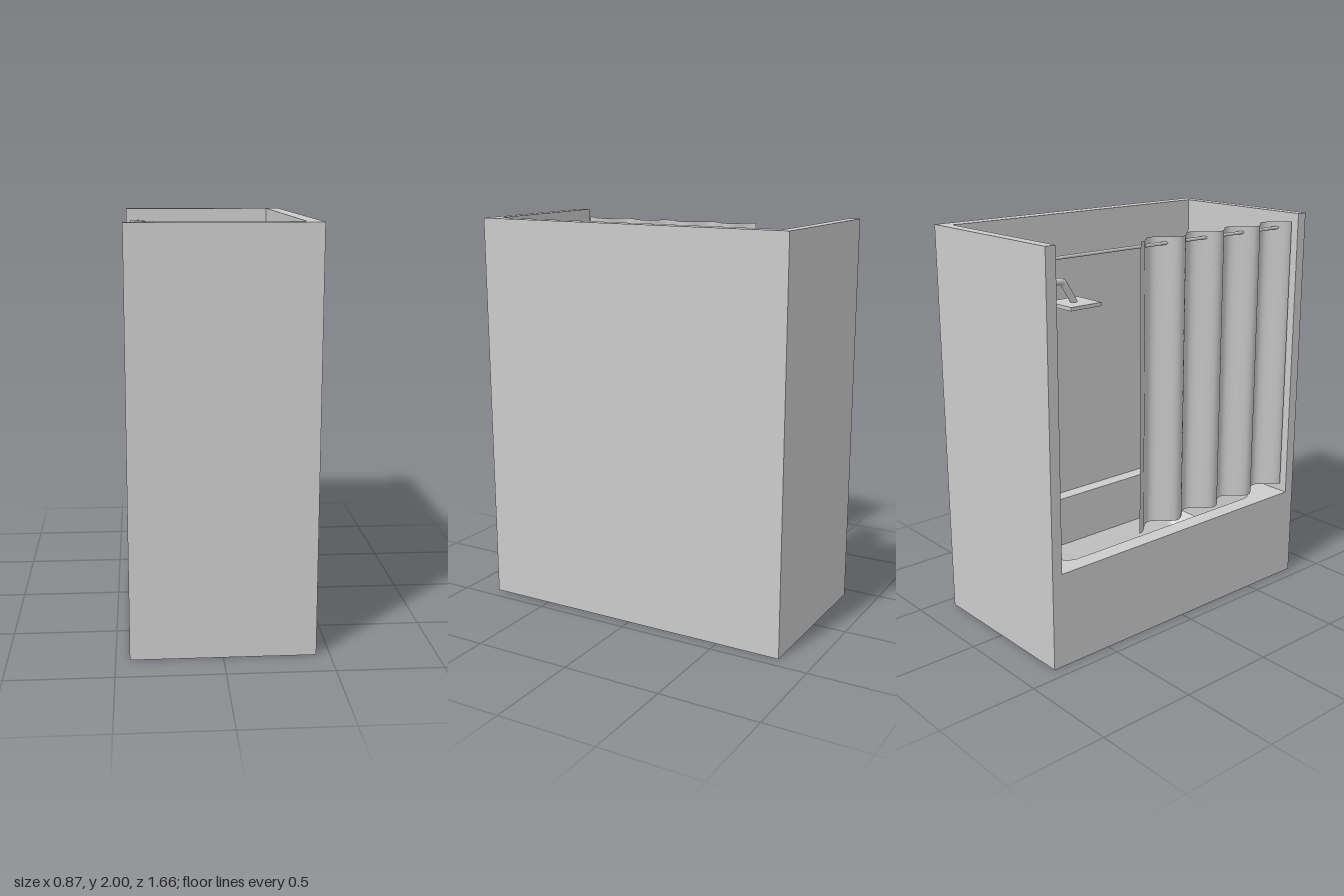
import * as THREE from 'three';
import { toCreasedNormals } from 'three/addons/utils/BufferGeometryUtils.js';

const grey = new THREE.MeshStandardMaterial({ color: 0xcccccc });
const greyThin = new THREE.MeshStandardMaterial({ color: 0xcccccc, side: THREE.DoubleSide });

// Outer half sizes, inner faces of the walls, and tub heights
const X = 0.435, Z = 0.83, WALL_X = 0.365, WALL_Z = 0.775;
const RIM = 0.48, LEDGE = 0.21, FLOOR = 0.11;

function add(parent, name, geometry, x = 0, y = 0, z = 0, material = grey) {
  const mesh = new THREE.Mesh(geometry, material);
  mesh.name = name;
  mesh.position.set(x, y, z);
  parent.add(mesh);
  return mesh;
}

// Plan points are (x, -z); the plan is raised along y
function raise(shape, height) {
  return new THREE.ExtrudeGeometry(shape, { depth: height, bevelEnabled: false }).rotateX(-Math.PI / 2);
}

function roundedLoop(x0, x1, z0, z1, r, steps = 8) {
  const corners = [[x1 - r, -z0 - r], [x0 + r, -z0 - r], [x0 + r, -z1 + r], [x1 - r, -z1 + r]];
  const points = [];
  corners.forEach(([cx, cy], c) => {
    for (let i = 0; i <= steps; i++) {
      const a = (c + i / steps) * Math.PI / 2;
      points.push(new THREE.Vector2(cx + r * Math.cos(a), cy + r * Math.sin(a)));
    }
  });
  return points;
}

function loft(top, yTop, bottom, yBottom) {
  const n = top.length, positions = [], index = [];
  top.forEach(p => positions.push(p.x, yTop, -p.y));
  bottom.forEach(p => positions.push(p.x, yBottom, -p.y));
  for (let i = 0; i < n; i++) {
    const j = (i + 1) % n;
    index.push(i, j, n + i, j, n + j, n + i);
  }
  const geometry = new THREE.BufferGeometry();
  geometry.setAttribute('position', new THREE.Float32BufferAttribute(positions, 3));
  geometry.setIndex(index);
  return toCreasedNormals(geometry, 0.5);
}

// Lathe profile of [radius, distance from wall], turned to point along +z
function turned(profile) {
  const points = profile.map(([r, d]) => new THREE.Vector2(r, d));
  return toCreasedNormals(new THREE.LatheGeometry(points, 24).rotateX(Math.PI / 2), 0.5);
}

function rodBetween(a, b, r0, r1 = r0) {
  const dir = b.clone().sub(a);
  const geometry = new THREE.CylinderGeometry(r1, r0, dir.length(), 16);
  geometry.applyQuaternion(new THREE.Quaternion().setFromUnitVectors(new THREE.Vector3(0, 1, 0), dir.normalize()));
  const mid = a.clone().add(b).multiplyScalar(0.5);
  return geometry.translate(mid.x, mid.y, mid.z);
}

function createTub(root) {
  const tub = new THREE.Group();
  tub.name = 'tub';
  root.add(tub);
  const opening = roundedLoop(-0.35, 0.29, -0.69, 0.61, 0.08);
  const floor = roundedLoop(-0.26, 0.2, -0.6, 0.52, 0.002);

  // Solid surround with the basin opening
  const surround = new THREE.Shape([
    new THREE.Vector2(-X, -WALL_Z), new THREE.Vector2(WALL_X, -WALL_Z),
    new THREE.Vector2(WALL_X, WALL_Z), new THREE.Vector2(-X, WALL_Z)
  ]);
  surround.holes.push(new THREE.Path(opening));
  add(tub, 'tubSurround', raise(surround, RIM));

  // Sloped lower basin and its flat floor
  add(tub, 'basinSlope', loft(opening, LEDGE, floor, FLOOR));
  add(tub, 'basinFloor', new THREE.ShapeGeometry(new THREE.Shape(floor)).rotateX(-Math.PI / 2), 0, FLOOR, 0);
  add(tub, 'underside', new THREE.PlaneGeometry(2 * X, 2 * Z).rotateX(Math.PI / 2));
}

function createCurtain(root) {
  // Rod spans the open side
  add(root, 'curtainRod', new THREE.CylinderGeometry(0.008, 0.008, 2 * WALL_Z, 16).rotateX(Math.PI / 2), -0.368, 1.93, 0);

  // Pleated cloth: a plane along z waved in x
  const length = 1.03, waves = 4;
  const cloth = new THREE.PlaneGeometry(length, 1.43, 96, 1).rotateY(-Math.PI / 2);
  const p = cloth.attributes.position;
  for (let i = 0; i < p.count; i++) {
    const t = p.getZ(i) / length + 0.5;
    p.setX(i, -0.04 * Math.cos(t * waves * Math.PI * 2));
  }
  cloth.computeVertexNormals();
  add(root, 'curtain', cloth, -0.37, 1.245, 0.24, greyThin);
}

function createFixtures(root) {
  const fixtures = new THREE.Group();
  fixtures.name = 'fixtures';
  root.add(fixtures);
  const x = -0.046, wall = -WALL_Z;

  // Shower arm with wall flange and square head
  add(fixtures, 'showerFlange', turned([[0, 0], [0.06, 0], [0.06, 0.008], [0.025, 0.014], [0, 0.014]]), x, 1.75, wall);
  const path = new THREE.CurvePath();
  const bend = [[wall, 1.75], [-0.465, 1.75], [-0.435, 1.735], [-0.375, 1.64]].map(([z, y]) => new THREE.Vector3(x, y, z));
  path.add(new THREE.LineCurve3(bend[0], bend[1]));
  path.add(new THREE.QuadraticBezierCurve3(bend[1], new THREE.Vector3(x, 1.75, -0.445), bend[2]));
  path.add(new THREE.LineCurve3(bend[2], bend[3]));
  add(fixtures, 'showerArm', new THREE.TubeGeometry(path, 48, 0.017, 16));
  add(fixtures, 'showerHead', new THREE.BoxGeometry(0.186, 0.018, 0.186), x, 1.632, -0.375);

  // Two tap knobs
  for (const kx of [-0.195, 0.11]) {
    add(fixtures, 'tapKnob', turned([[0, 0], [0.028, 0], [0.028, 0.006], [0.019, 0.016], [0.021, 0.04], [0, 0.04]]), kx, 0.85, wall);
  }

  // Tub spout, narrowing towards its tip
  const root0 = new THREE.Vector3(-0.04, 0.64, wall), tip = new THREE.Vector3(-0.044, 0.62, -0.51);
  add(fixtures, 'tubSpout', rodBetween(root0, tip, 0.022, 0.016));
}

export function createModel() {
  const root = new THREE.Group();
  root.name = 'showerBathEnclosure';

  // Three walls, open on the curtain side and at the top
  const walls = new THREE.Shape([
    [-X, -Z], [X, -Z], [X, Z], [-X, Z], [-X, WALL_Z], [WALL_X, WALL_Z], [WALL_X, -WALL_Z], [-X, -WALL_Z]
  ].map(([a, b]) => new THREE.Vector2(a, b)));
  add(root, 'walls', raise(walls, 2));

  createTub(root);
  createCurtain(root);
  createFixtures(root);
  return root;
}
